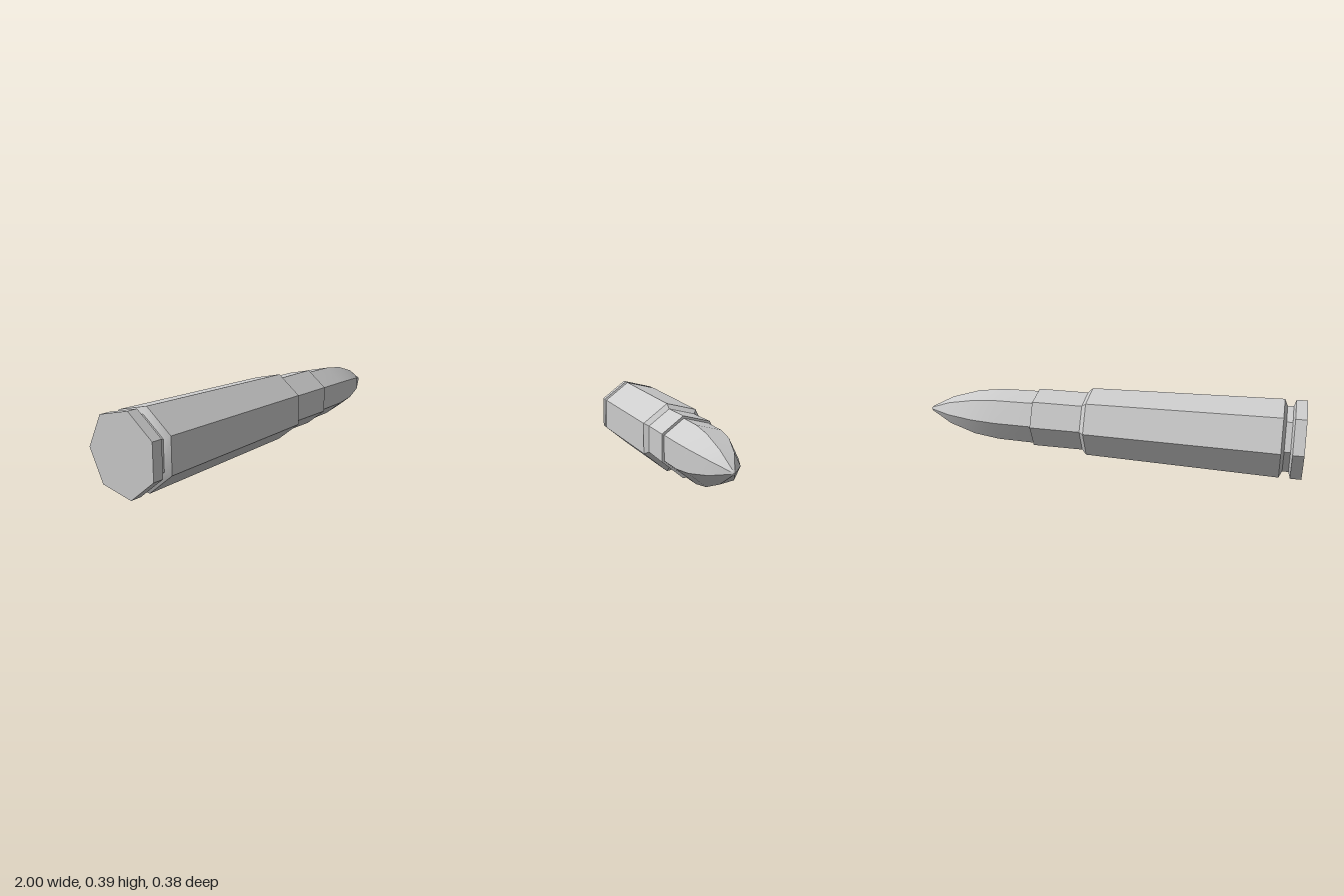
import * as THREE from 'three';
import { toCreasedNormals } from 'three/addons/utils/BufferGeometryUtils.js';

const SIDES = 7;

// Seven-sided turned part along +x; profile is a list of [x, radius] from back to tip.
function turned(name, profile, material) {
  const points = profile.map(([x, r]) => new THREE.Vector2(r, x));
  const lathe = new THREE.LatheGeometry(points, SIDES, Math.PI);
  lathe.rotateZ(-Math.PI / 2);
  const mesh = new THREE.Mesh(toCreasedNormals(lathe, 0.6), material);
  mesh.name = name;
  return mesh;
}

export function createModel() {
  const grey = new THREE.MeshStandardMaterial({ color: 0xcccccc });
  grey.name = 'light grey metal';

  const model = new THREE.Group();
  model.name = 'cartridge';

  // Case: rim, extraction groove, tapered body, shoulder and neck
  model.add(turned('case', [
    [-1, 0], [-1, 0.2], [-0.945, 0.2],
    [-0.935, 0.167], [-0.905, 0.167],
    [-0.89, 0.2], [0.09, 0.179],
    [0.115, 0.154], [0.38, 0.154], [0.38, 0],
  ], grey));

  // Pointed tip seated in the neck
  model.add(turned('tip', [
    [0.36, 0.142], [0.58, 0.138], [0.72, 0.12],
    [0.87, 0.075], [0.99, 0.012], [1, 0],
  ], grey));

  // Rest on the ground, centred on the lopsided heptagon
  model.position.set(0, 0.195, 0.01);
  return model;
}
